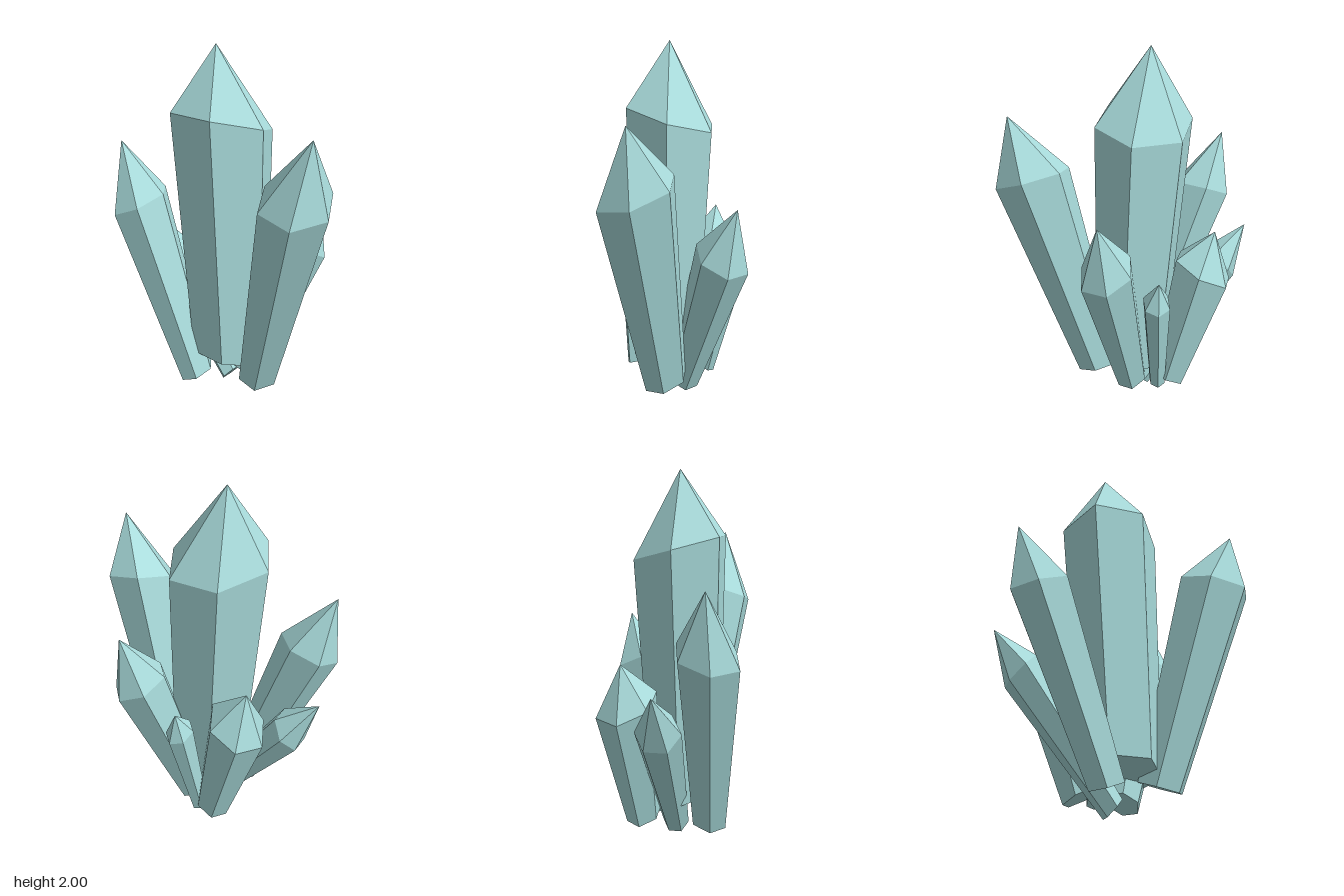
import * as THREE from 'three';

const vec = (p) => new THREE.Vector3(...p);

// Tapered six-sided prism with a pointed cap and a closed base.
// The shoulder is a skewed hexagon spanned by the corner offsets u and v.
function crystal(name, material, { tip, shoulder, u, v, base, taper = 0.6 }) {
  const apex = vec(tip);
  const foot = vec(base);
  const a = vec(u);
  const c = vec(v);
  const half = [a, a.clone().add(c), c];
  const offsets = [...half, ...half.map((p) => p.clone().negate())];
  const top = offsets.map((p) => p.clone().add(vec(shoulder)));
  const bottom = offsets.map((p) => p.clone().multiplyScalar(taper).add(foot));

  const points = [];
  top.forEach((t, i) => {
    const j = (i + 1) % top.length;
    points.push(bottom[j], bottom[i], t, bottom[j], t, top[j]); // shaft
    points.push(top[j], t, apex); // point
    points.push(bottom[i], bottom[j], foot); // base
  });
  const geometry = new THREE.BufferGeometry().setFromPoints(points);
  geometry.computeVertexNormals();
  const mesh = new THREE.Mesh(geometry, material);
  mesh.name = name;
  return mesh;
}

export function createModel() {
  const group = new THREE.Group();
  group.name = 'crystalCluster';
  const material = new THREE.MeshStandardMaterial({ color: 0xaadddd, flatShading: true });
  const add = (name, shape) => group.add(crystal(name, material, shape));

  // Tall upright crystal in the middle
  add('mainCrystal', {
    tip: [-0.035, 2, -0.12], shoulder: [-0.03, 1.6, -0.085],
    u: [0.226, -0.06, 0.16], v: [-0.226, 0.06, 0.12],
    base: [-0.05, 0.21, -0.02], taper: 0.78,
  });

  // Leaning crystals around it
  add('frontCrystal', {
    tip: [-0.187, 1.66, 0.614], shoulder: [-0.158, 1.32, 0.504],
    u: [0.17, 0.03, 0.1], v: [-0.178, -0.07, 0.1], base: [-0.04, 0.16, 0.19],
  });
  add('backRightCrystal', {
    tip: [-0.245, 1.435, -0.66], shoulder: [-0.24, 1.105, -0.53],
    u: [0.161, 0.054, 0.04], v: [-0.127, 0.01, 0.114], base: [-0.2, 0.11, -0.15],
  });
  add('backCrystal', {
    tip: [0, 0.935, -0.71], shoulder: [0, 0.72, -0.555],
    u: [-0.06, 0.078, 0.065], v: [-0.06, -0.078, -0.065], base: [0, 0.045, -0.05],
  });
  add('backLeftCrystal', {
    tip: [0.225, 1.025, -0.4], shoulder: [0.21, 0.8, -0.344],
    u: [-0.013, 0.073, 0.159], v: [-0.133, -0.012, -0.088], base: [0.16, 0.13, -0.17],
  });
  add('frontLeftCrystal', {
    tip: [0.335, 1.19, 0.31], shoulder: [0.262, 0.903, 0.241],
    u: [0.03, -0.063, 0.145], v: [-0.137, 0.065, -0.045], base: [0.05, 0.085, 0.02],
  });
  add('smallCrystal', {
    tip: [0.33, 0.82, -0.03], shoulder: [0.293, 0.686, -0.033],
    u: [-0.022, 0.02, -0.075], v: [0.075, -0.04, 0.018], base: [0.18, 0.11, -0.09],
  });
  return group;
}
